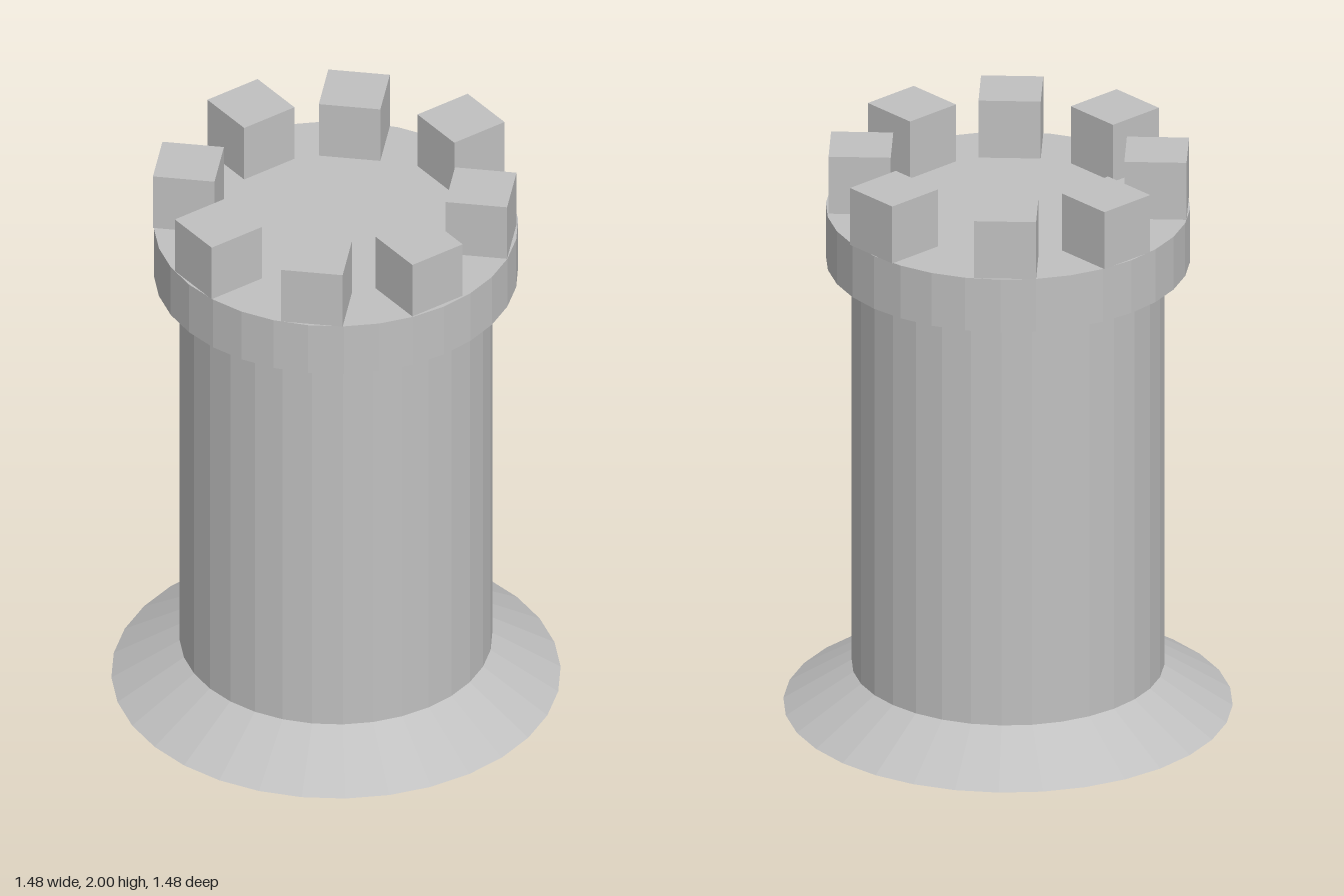
import * as THREE from 'three';

export function createModel() {
  const model = new THREE.Group();
  model.name = 'tower';
  const stone = new THREE.MeshStandardMaterial({ color: 0xc0c0c0, flatShading: true });
  stone.name = 'stone grey';

  const add = (name, geometry, x, y, z) => {
    const mesh = new THREE.Mesh(geometry, stone);
    mesh.name = name;
    mesh.position.set(x, y, z);
    model.add(mesh);
    return mesh;
  };

  // Round stack: radiusTop, radiusBottom, yBottom, yTop
  const drum = (name, top, bottom, y0, y1) =>
    add(name, new THREE.CylinderGeometry(top, bottom, y1 - y0, 32), 0, (y0 + y1) / 2, 0);
  drum('flaredBase', 0.515, 0.74, 0, 0.142);
  drum('shaft', 0.515, 0.515, 0.142, 1.595);
  drum('rim', 0.6, 0.6, 1.595, 1.785);

  // Battlements, slightly uneven: x, z, centre height
  const size = 0.205;
  const block = new THREE.BoxGeometry(size, size, size);
  [
    [0.51, 0, 1.8975],
    [0.335, -0.355, 1.8875],
    [0.012, -0.49, 1.8875],
    [-0.355, -0.337, 1.8875],
    [-0.488, 0.011, 1.8875],
    [-0.338, 0.353, 1.8875],
    [-0.015, 0.483, 1.8875],
    [0.333, 0.353, 1.8875],
  ].forEach(([x, z, y], i) => {
    add('battlement' + (i + 1), block, x, y, z).rotation.y = (i * Math.PI) / 4;
  });

  return model;
}
